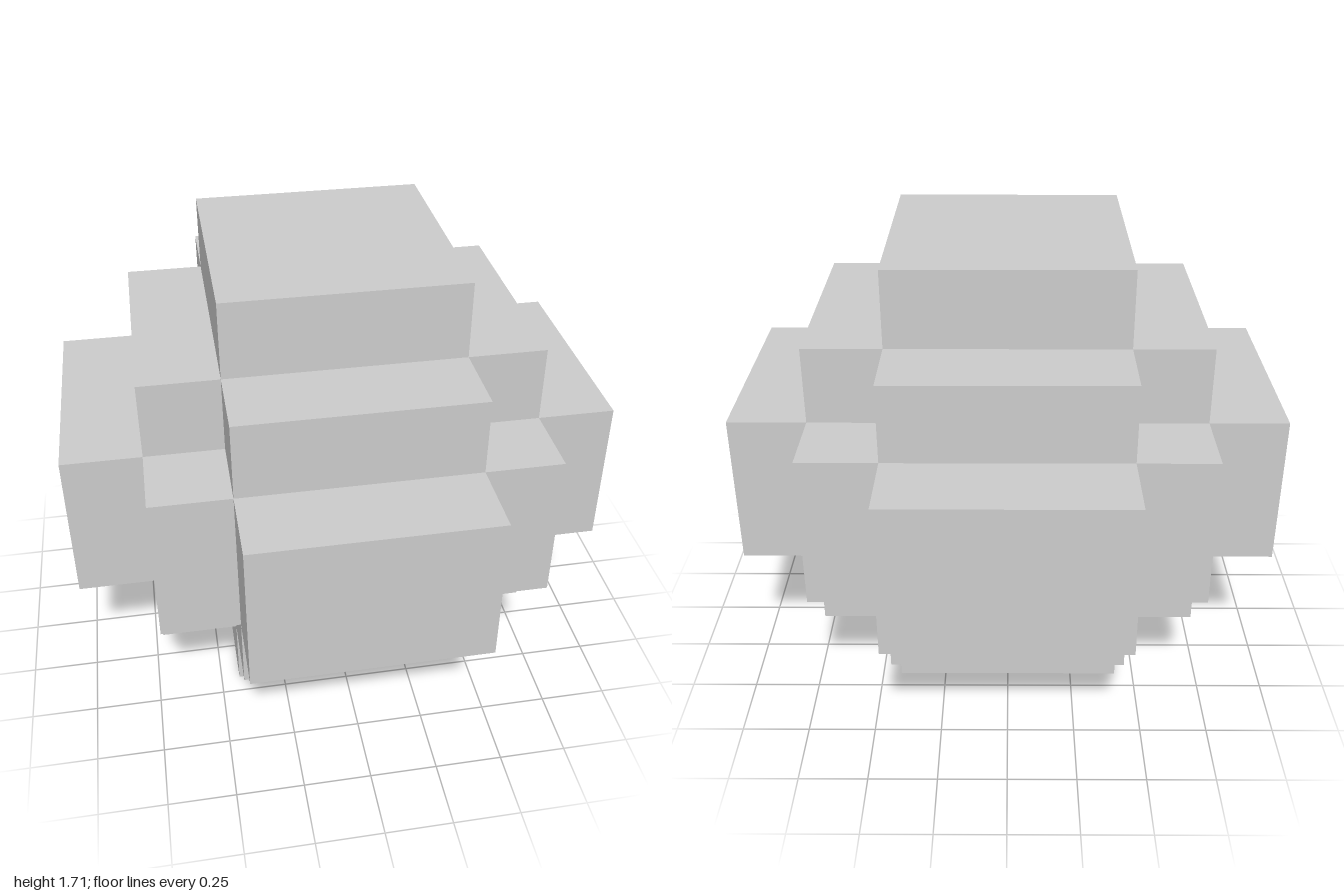
import * as THREE from 'three';

const U = 2 / 7; // edge of one block
const INNER = 1.5 * U, MID = 2.5 * U, OUTER = 3.5 * U;

// One quadrant of each layer's outline, counter-clockwise from +x towards +z
const CAP = [[INNER, INNER]];
const CROSS = [[MID, INNER], [INNER, INNER], [INNER, MID]];
const WIDE = [[OUTER, INNER], [MID, INNER], [MID, MID], [INNER, MID], [INNER, OUTER]];

// Repeat the quadrant outline four times around the centre
function outline(quadrant) {
  const points = [];
  let turn = ([x, y]) => [x, y];
  for (let i = 0; i < 4; i++) {
    for (const p of quadrant) points.push(new THREE.Vector2(...turn(p)));
    const previous = turn;
    turn = (p) => { const [x, y] = previous(p); return [-y, x]; };
  }
  return new THREE.Shape(points);
}

export function createModel() {
  const group = new THREE.Group();
  group.name = 'blockSphere';
  const material = new THREE.MeshStandardMaterial({ color: 0xcccccc, flatShading: true });

  // Layers from bottom to top: name, outline, first and last height in blocks
  const layers = [
    ['bottomCap', CAP, 0, 1],
    ['lowerCross', CROSS, 1, 2],
    ['middleBand', WIDE, 2, 4],
    ['upperCross', CROSS, 4, 5],
    ['topCap', CAP, 5, 6],
  ];
  for (const [name, quadrant, from, to] of layers) {
    const geometry = new THREE.ExtrudeGeometry(outline(quadrant), {
      depth: (to - from) * U, bevelEnabled: false,
    });
    geometry.rotateX(-Math.PI / 2);
    const mesh = new THREE.Mesh(geometry, material);
    mesh.name = name;
    mesh.position.y = from * U;
    group.add(mesh);
  }
  return group;
}
